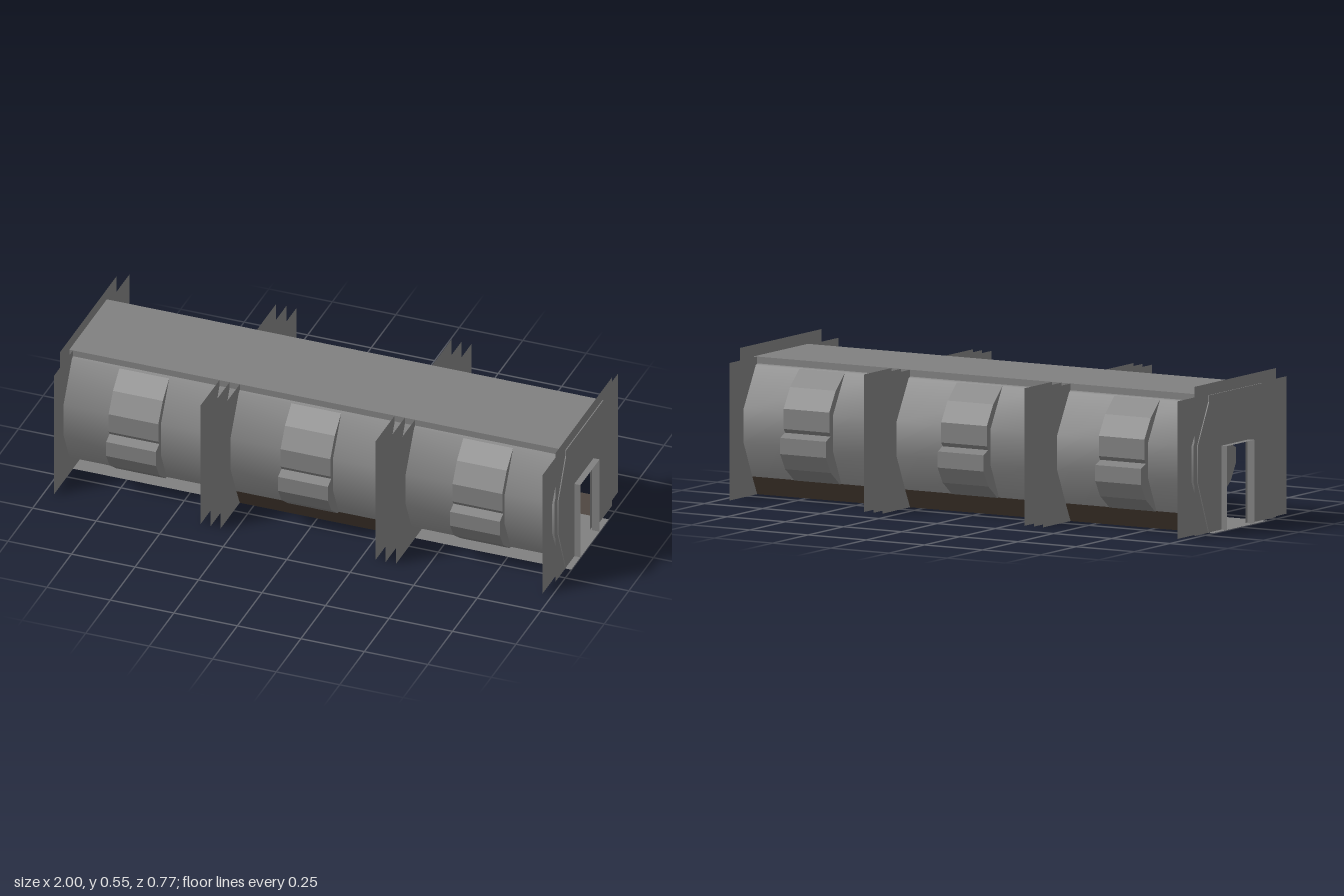
import * as THREE from 'three';

const grey = new THREE.MeshStandardMaterial({ color: 0x808080 });
grey.name = 'hullGrey';
const plateGrey = new THREE.MeshStandardMaterial({ color: 0x808080, side: THREE.DoubleSide });
plateGrey.name = 'plateGrey';
const brown = new THREE.MeshStandardMaterial({ color: 0x43382f, side: THREE.DoubleSide });
brown.name = 'darkBrown';

// Half profiles as [z, y], from the roof edge down
const SHELL = [[0.19, 0.485], [0.2, 0.48], [0.285, 0.33], [0.285, 0.2], [0.225, 0.07]];
const SEAM = [[0.19, 0.485], [0.27, 0.33], [0.27, 0.2], [0.19, 0]];
const SKIRT = [[0.225, 0.07], [0.19, 0]];
const BAND = [[0.2, 0.48], [0.265, 0.42], [0.31, 0.345], [0.31, 0.27], [0.3, 0.255],
  [0.335, 0.24], [0.335, 0.18], [0.3, 0.12], [0.235, 0.07], [0.22, 0.07], [0.26, 0.2], [0.26, 0.33]];
const DOOR_W = 0.097, DOOR_H = 0.312;

// Smooth skin swept along x on one side of the hull
function skin(profile, x0, x1, side) {
  const pos = [], index = [];
  for (const [z, y] of profile) pos.push(x0, y, z * side, x1, y, z * side);
  for (let i = 0; i < profile.length - 1; i++) {
    const a = 2 * i, d = a + 1, b = a + 2, c = a + 3;
    if (side > 0) index.push(a, b, c, a, c, d);
    else index.push(a, c, b, a, d, c);
  }
  const g = new THREE.BufferGeometry();
  g.setAttribute('position', new THREE.Float32BufferAttribute(pos, 3));
  g.setIndex(index);
  g.computeVertexNormals();
  return g;
}

// Thin upright plate across the hull, with the doorway cut out of its foot
function bulkhead(halfWidth, height) {
  const w = halfWidth;
  const points = [[-w, 0], [-DOOR_W, 0], [-DOOR_W, DOOR_H], [DOOR_W, DOOR_H],
    [DOOR_W, 0], [w, 0], [w, height], [-w, height]];
  return new THREE.ShapeGeometry(new THREE.Shape(points.map(p => new THREE.Vector2(...p))))
    .rotateY(Math.PI / 2);
}

export function createModel() {
  const model = new THREE.Group();
  model.name = 'corridorModule';
  const add = (name, geometry, material, x = 0, y = 0, z = 0) => {
    const mesh = new THREE.Mesh(geometry, material);
    mesh.name = name;
    mesh.position.set(x, y, z);
    model.add(mesh);
    return mesh;
  };

  // Roof and floor
  add('roof', new THREE.BoxGeometry(1.96, 0.028, 0.38), grey, 0, 0.496, 0);
  add('floor', new THREE.PlaneGeometry(2, 0.38).rotateX(-Math.PI / 2), plateGrey, 0, 0.001, 0);

  const segments = [[-0.97, -0.385], [-0.305, 0.305], [0.385, 0.97]];
  const seams = [[-0.98, -0.97], [-0.385, -0.305], [0.305, 0.385], [0.97, 0.98]];
  for (const side of [1, -1]) {
    segments.forEach(([x0, x1], i) => {
      add('shell', skin(SHELL, x0, x1, side), grey);
      // The front of the outer segments is open along the foot
      if (side < 0 || i === 1) add('skirt', skin(SKIRT, x0, x1, side), brown);

      // Raised rib in the middle of each segment
      const shape = new THREE.Shape(BAND.map(([z, y]) => new THREE.Vector2(z * side, y)));
      const rib = new THREE.ExtrudeGeometry(shape, { depth: 0.196, bevelEnabled: false });
      rib.translate(0, 0, -0.098).rotateY(-Math.PI / 2);
      add('rib', rib, grey, (i - 1) * 0.677);
    });
    for (const [x0, x1] of seams) add('seam', skin(SEAM, x0, x1, side), grey);
  }

  // Cross plates at the seams and the ends, then the door frames
  const wide = bulkhead(0.384, 0.51);
  const end = bulkhead(0.287, 0.553);
  for (const s of [-1, 1]) {
    for (const x of [0.305, 0.345, 0.385, 0.962]) add('crossPlate', wide, plateGrey, s * x);
    add('endPlate', end, plateGrey, s * 0.976);
    for (const k of [-1, 1]) {
      add('doorJamb', new THREE.PlaneGeometry(0.03, DOOR_H), plateGrey,
        s * 0.985, DOOR_H / 2, k * DOOR_W);
    }
    add('doorLintel', new THREE.PlaneGeometry(0.03, DOOR_W * 2).rotateX(-Math.PI / 2), plateGrey,
      s * 0.985, DOOR_H, 0);
  }
  return model;
}
